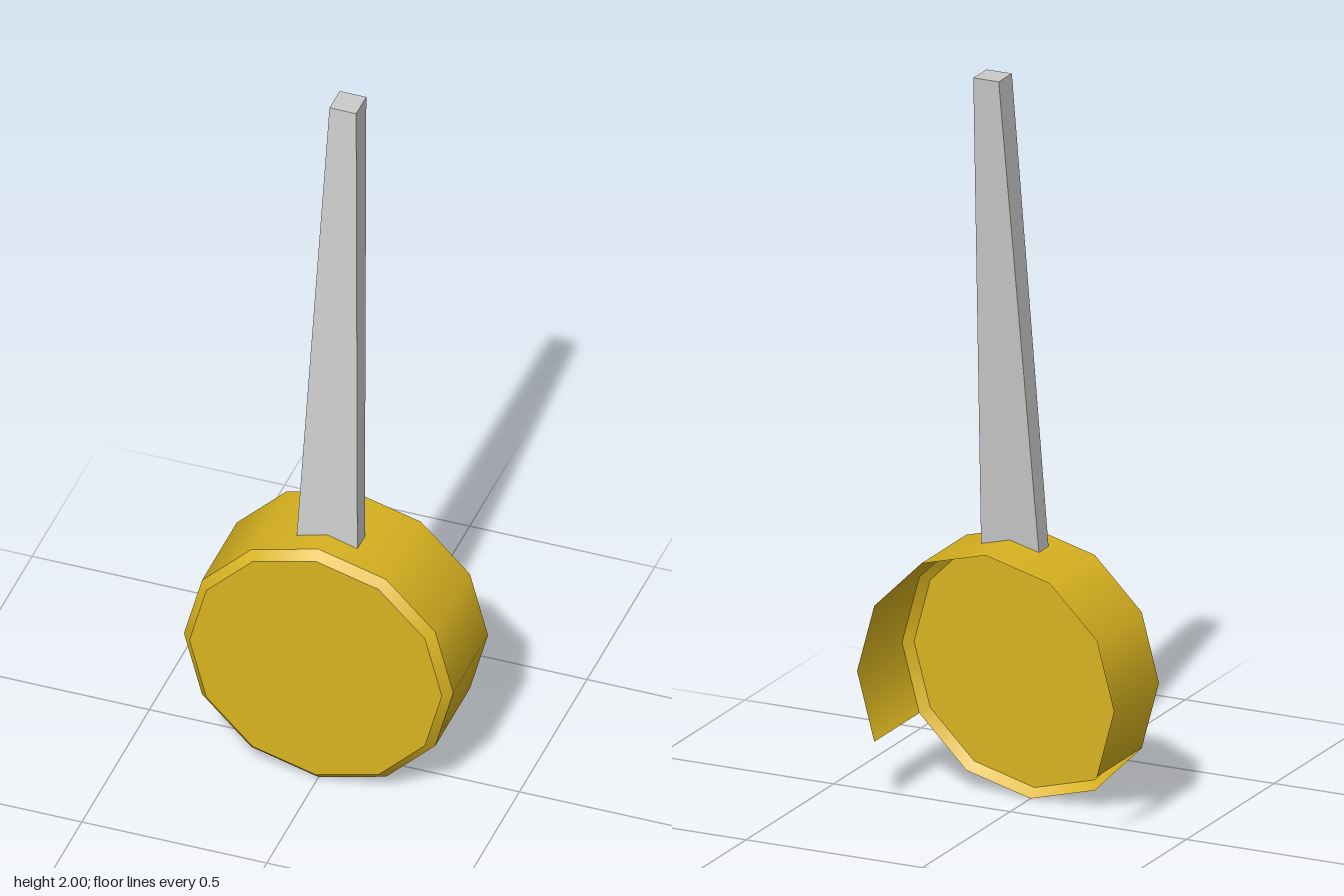
import * as THREE from 'three';

const R = 0.364, FACE_R = 0.341, CY = 0.364;   // disc radius, face radius, centre height
const BACK = -0.14, RIM = 0.117, FRONT = 0.139; // depths along z

export function createModel() {
  const model = new THREE.Group();
  const gold = new THREE.MeshStandardMaterial({ color: 0xd9b320, side: THREE.DoubleSide });
  const grey = new THREE.MeshStandardMaterial({ color: 0xcccccc });

  const add = (name, geometry, material, parent) => {
    const mesh = new THREE.Mesh(geometry, material);
    mesh.name = name;
    parent.add(mesh);
    return mesh;
  };

  // Band of a 12-sided disc facing +z, swept around its axis
  const band = (r0, z0, r1, z1, segments, start, length) =>
    new THREE.LatheGeometry(
      [new THREE.Vector2(r0, z0), new THREE.Vector2(r1, z1)], segments, start, length
    ).rotateX(Math.PI / 2);

  // Hollow head: face, bevel, and a wall that leaves the bottom third open
  const head = new THREE.Group();
  head.name = 'head';
  head.position.y = CY;
  model.add(head);
  add('face', new THREE.CircleGeometry(FACE_R, 12), gold, head).position.z = FRONT;
  add('bevel', band(R, RIM, FACE_R, FRONT, 12, 0, Math.PI * 2), gold, head);
  add('wall', band(R, BACK, R, RIM, 8, Math.PI / 3, Math.PI * 4 / 3), gold, head);

  // Tapered handle leaning back, its foot just piercing the wall
  const ends = {
    bottom: { y: 0.704, halfWidth: 0.082, front: 0.055, back: 0 },
    top: { y: 2, halfWidth: 0.036, front: -0.062, back: -0.137 },
  };
  const handle = new THREE.BoxGeometry(2, 2, 2);
  const p = handle.attributes.position;
  for (let i = 0; i < p.count; i++) {
    const e = p.getY(i) > 0 ? ends.top : ends.bottom;
    p.setXYZ(i, p.getX(i) * e.halfWidth, e.y, p.getZ(i) > 0 ? e.front : e.back);
  }
  handle.computeVertexNormals();
  add('handle', handle, grey, model);

  return model;
}
